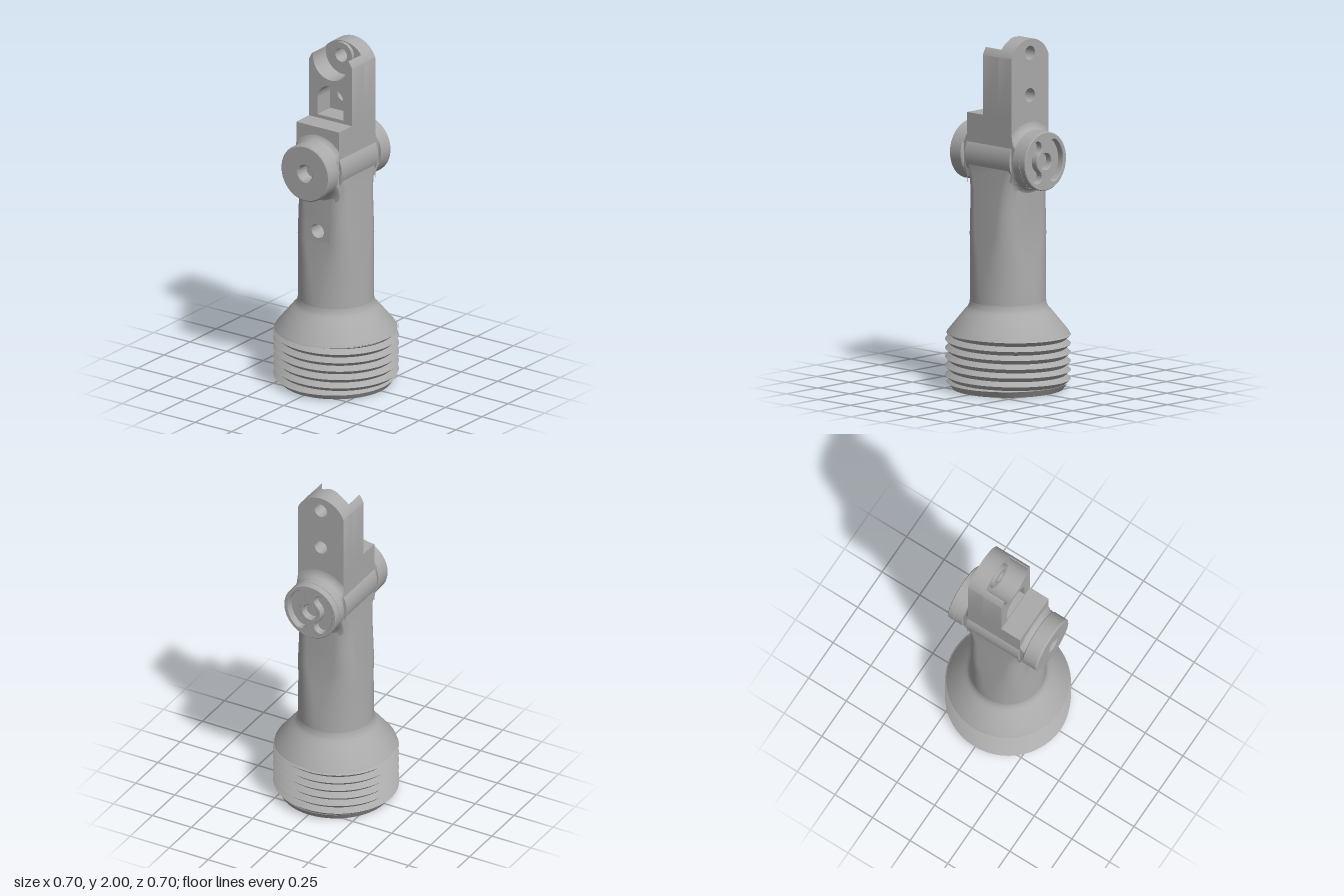
import * as THREE from 'three';
import { toCreasedNormals } from 'three/addons/utils/BufferGeometryUtils.js';

const PIVOT_Y = 1.32;
const TAU = Math.PI * 2;

export function createModel() {
  const model = new THREE.Group();
  model.name = 'threadedPost';
  const grey = new THREE.MeshStandardMaterial({ color: 0xaaaaaa });
  grey.name = 'plain grey';

  function add(name, geometry, x = 0, y = 0, z = 0) {
    const mesh = new THREE.Mesh(geometry, grey);
    mesh.name = name;
    mesh.position.set(x, y, z);
    model.add(mesh);
    return mesh;
  }

  // Skin closed loops of points; skip(row, column) leaves a quad open
  function loft(rows, crease, skip = () => false) {
    const n = rows[0].length, index = [];
    for (let i = 0; i < rows.length - 1; i++) {
      for (let j = 0; j < n; j++) {
        if (skip(i, j)) continue;
        const k = (j + 1) % n;
        const a = i * n + j, b = i * n + k, c = a + n, d = b + n;
        index.push(a, c, b, b, c, d);
      }
    }
    const g = new THREE.BufferGeometry();
    g.setAttribute('position', new THREE.Float32BufferAttribute(rows.flat(2), 3));
    g.setIndex(index);
    return toCreasedNormals(g, crease);
  }

  // Extrude a side profile (drawn as -z, y) from x0 to x1
  function extrudeX(shape, x0, x1, bevel = 0) {
    const g = new THREE.ExtrudeGeometry(shape, {
      depth: x1 - x0 - 2 * bevel, curveSegments: 32, bevelEnabled: bevel > 0,
      bevelThickness: bevel, bevelSize: bevel, bevelOffset: -bevel, bevelSegments: 1,
    });
    g.translate(0, 0, x0 + bevel);
    g.rotateY(Math.PI / 2);
    return toCreasedNormals(g, 0.5);
  }

  const polygon = (pts) => new THREE.Shape(pts.map((p) => new THREE.Vector2(...p)));
  const circle = (r, y = 0, Type = THREE.Path) => new Type().absarc(0, y, r, 0, TAU, false);
  function disc(r, y, holes = []) {
    const s = circle(r, y, THREE.Shape);
    s.holes.push(...holes);
    return s;
  }

  // Base core with the key pocket open underneath
  const core = disc(0.31, 0, [polygon([
    [0.27, 0.045], [0.06, 0.14], [-0.06, 0.14], [-0.27, 0.045],
    [-0.27, -0.045], [-0.06, -0.14], [0.06, -0.14], [0.27, -0.045],
  ])]);
  const coreGeo = new THREE.ExtrudeGeometry(core, { depth: 0.28, bevelEnabled: false, curveSegments: 48 });
  coreGeo.rotateX(-Math.PI / 2);
  add('baseCore', toCreasedNormals(coreGeo, 0.5));
  add('pocketCeiling', new THREE.CylinderGeometry(0.31, 0.31, 0.02, 48), 0, 0.29);
  add('baseChamfer', new THREE.CylinderGeometry(0.333, 0.31, 0.035, 96, 1, true), 0, 0.0175);

  // Helical thread: rows follow the crests and roots
  const pitch = 0.05, y0 = 0.035, y1 = 0.32, threadRows = [];
  for (let k = -3; k <= 13; k++) {
    const row = [];
    for (let j = 0; j < 96; j++) {
      const t = (j / 96) * TAU;
      const y = THREE.MathUtils.clamp(y0 + (k / 2 + j / 96) * pitch, y0, y1);
      const phase = (y - y0) / pitch - j / 96;
      const wave = Math.abs(phase - Math.round(phase)) * 2;
      const r = 0.323 + 0.028 * wave;
      row.push([r * Math.cos(t), y, r * Math.sin(t)]);
    }
    threadRows.push(row);
  }
  // Each turn advances one pitch, so the seam joins a row two steps higher
  const n = 96, threadIndex = [];
  const id = (k, j) => (j < n ? k * n + j : (k + 2) * n);
  for (let k = 0; k < threadRows.length - 1; k++) {
    for (let j = 0; j < n; j++) {
      if (j === n - 1 && k + 3 >= threadRows.length) continue;
      const a = id(k, j), b = id(k, j + 1), c = id(k + 1, j), d = id(k + 1, j + 1);
      threadIndex.push(a, c, b, b, c, d);
    }
  }
  const threadGeo = new THREE.BufferGeometry();
  threadGeo.setAttribute('position', new THREE.Float32BufferAttribute(threadRows.flat(2), 3));
  threadGeo.setIndex(threadIndex);
  add('thread', toCreasedNormals(threadGeo, 0.5));

  // Shoulder cone, filleted into the shaft
  const shoulder = [[0.31, 0.312], [0.343, 0.315], [0.338, 0.325], [0.245, 0.44], [0.228, 0.458], [0.217, 0.477], [0.213, 0.5]];
  add('shoulder', toCreasedNormals(
    new THREE.LatheGeometry(shoulder.map((p) => new THREE.Vector2(...p)), 96), 0.6));

  // Shaft: round at the foot, rounded rectangle above [y, half x, half z, corner]
  const N = 10;
  const sections = [
    [0.46, 0.214, 0.214, 0.214], [0.5, 0.213, 0.213, 0.213], [0.62, 0.2, 0.205, 0.18],
    [0.75, 0.187, 0.196, 0.145], [0.88, 0.175, 0.186, 0.101], [1.0, 0.175, 0.177, 0.092],
    [1.12, 0.175, 0.168, 0.083], [1.2, 0.175, 0.161, 0.06], [1.28, 0.175, 0.155, 0.02],
  ];
  const shaftRows = sections.map(([y, a, b, c]) => {
    const row = [];
    for (let k = 0; k < 4; k++) {
      const sx = k === 0 || k === 3 ? 1 : -1, sz = k < 2 ? 1 : -1;
      for (let i = 0; i <= N; i++) {
        const t = (k + i / N) * Math.PI / 2;
        row.push([sx * (a - c) + c * Math.cos(t), y, sz * (b - c) + c * Math.sin(t)]);
      }
    }
    return row;
  });
  add('shaft', loft(shaftRows, 0.6, (i, j) => i === 4 && j === 2 * N + 1));

  // Drilled panel in the right side of the shaft
  const panel = polygon([[-0.085, 0.88], [0.085, 0.88], [0.085, 1.0], [-0.085, 1.0]]);
  panel.holes.push(circle(0.042, 0.94));
  add('shaftHolePanel', extrudeX(panel, -0.175, -0.06));
  add('shaftHoleBottom', new THREE.BoxGeometry(0.01, 0.12, 0.16), -0.055, 0.94);

  // Head block and pivot barrel
  add('headBlock', new THREE.BoxGeometry(0.346, 0.36, 0.294), -0.002, 1.38);
  add('barrel', extrudeX(disc(0.165, PIVOT_Y), -0.175, 0.172));
  add('barrelCore', extrudeX(disc(0.148, PIVOT_Y), -0.22, 0.22));

  // Flared fillets between the block and the end caps
  for (const side of [1, -1]) {
    const rows = [];
    for (let i = 0; i <= 6; i++) {
      const t = (i / 6) * Math.PI / 2;
      const x = 0.205 - 0.035 * Math.sin(t), r = 0.165 + 0.055 * (1 - Math.cos(t));
      const row = [];
      for (let j = 0; j < 64; j++) {
        const u = (j / 64) * TAU;
        row.push([side * x, PIVOT_Y + r * Math.sin(u), THREE.MathUtils.clamp(r * Math.cos(u), -0.147, 0.147)]);
      }
      rows.push(row);
    }
    if (side > 0) rows.reverse();
    add(side > 0 ? 'leftFillet' : 'rightFillet', loft(rows, 0.6));
  }

  // Right cap with a plain centre hole
  add('rightCap', extrudeX(disc(0.166, PIVOT_Y, [circle(0.045, PIVOT_Y)]), -0.298, -0.2, 0.008));

  // Left cap: flat-bottomed disc behind a face with two curved slots
  const flat = Math.asin(0.148 / 0.166);
  const back = new THREE.Shape().absarc(0, PIVOT_Y, 0.166, -flat, Math.PI + flat, false);
  add('leftCapBack', extrudeX(back, 0.2, 0.252));
  function slot(mid) {
    const a0 = mid - 0.9, a1 = mid + 0.9, p = new THREE.Path();
    const end = (a) => [0.105 * Math.cos(a), PIVOT_Y + 0.105 * Math.sin(a), 0.035];
    p.absarc(0, PIVOT_Y, 0.14, a0, a1, false);
    p.absarc(...end(a1), a1, a1 + Math.PI, false);
    p.absarc(0, PIVOT_Y, 0.07, a1, a0, true);
    p.absarc(...end(a0), a0 + Math.PI, a0 + TAU, false);
    return p;
  }
  add('leftCapFace', extrudeX(
    disc(0.166, PIVOT_Y, [slot(0), slot(Math.PI), circle(0.045, PIVOT_Y)]), 0.25, 0.294, 0.004));

  // Tall upright plate with two through holes
  const plate = polygon([[-0.147, 1.56], [0.147, 1.56]]);
  plate.absarc(0, 1.8425, 0.1575, 0.37, Math.PI - 0.37, false);
  plate.holes.push(circle(0.04, 1.92), circle(0.04, 1.68));
  add('uprightPlate', extrudeX(plate, 0.07, 0.171));
  add('plateBoss', extrudeX(disc(0.075, 1.92, [circle(0.04, 1.92)]), 0.05, 0.071));

  // Thicker half of the upright: scooped top and arched window
  const cheek = polygon([[-0.147, 1.56], [0.147, 1.56]]);
  cheek.absarc(0, 1.8425, 0.1575, 0.37, 0.666, false);
  cheek.absarc(0, 1.92, 0.12, 0.167, -Math.PI - 0.167, true);
  cheek.absarc(0, 1.8425, 0.1575, Math.PI - 0.666, Math.PI - 0.37, false);
  const arch = new THREE.Path();
  arch.moveTo(-0.09, 1.58);
  arch.lineTo(0.09, 1.58);
  arch.absarc(0, 1.675, 0.09, 0, Math.PI, false);
  cheek.holes.push(arch);
  add('uprightCheek', extrudeX(cheek, -0.052, 0.07));

  return model;
}
